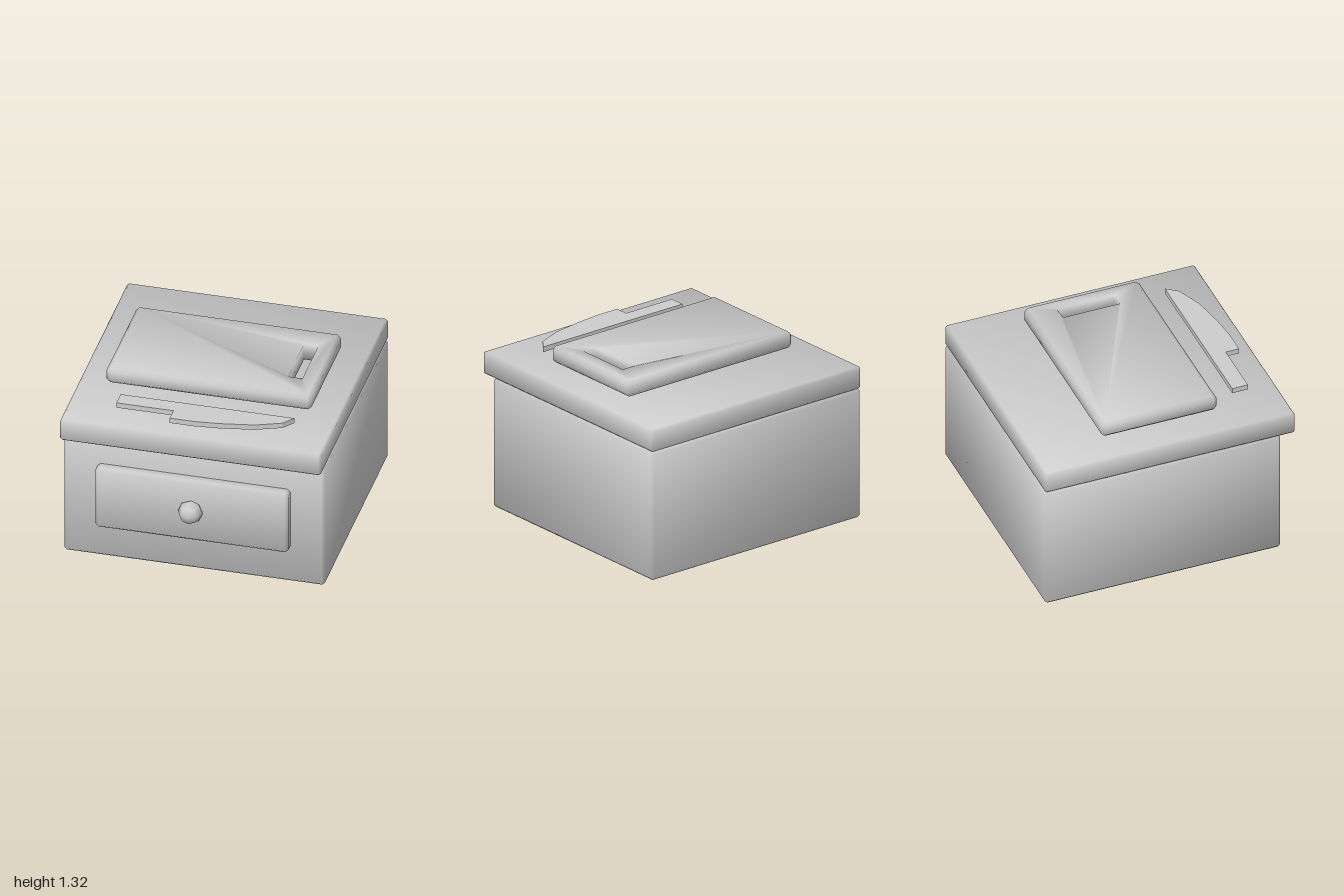
import * as THREE from 'three';
import { mergeVertices } from 'three/addons/utils/BufferGeometryUtils.js';

const grey = new THREE.MeshStandardMaterial({ color: 0xcccccc });
grey.name = 'light grey';

// Weld the corners and average face normals by corner angle for soft shading
function smooth(points) {
  const geo = mergeVertices(new THREE.BufferGeometry().setFromPoints(points), 1e-4);
  const pos = geo.attributes.position, index = geo.index;
  const normals = Array.from({ length: pos.count }, () => new THREE.Vector3());
  for (let i = 0; i < index.count; i += 3) {
    const ids = [0, 1, 2].map((k) => index.getX(i + k));
    const p = ids.map((id) => new THREE.Vector3().fromBufferAttribute(pos, id));
    const face = new THREE.Triangle(...p).getNormal(new THREE.Vector3());
    ids.forEach((id, k) => {
      const u = p[(k + 1) % 3].clone().sub(p[k]);
      const v = p[(k + 2) % 3].clone().sub(p[k]);
      normals[id].addScaledVector(face, u.angleTo(v));
    });
  }
  const flat = normals.flatMap((n) => n.normalize().toArray());
  geo.setAttribute('normal', new THREE.Float32BufferAttribute(flat, 3));
  return geo;
}

// Rectangle in plan, with each corner given as two points: cut, or inset to one spot
function ring([x0, x1], y, [z0, z1], c, inset) {
  const out = [];
  for (const [sx, sz] of [[1, -1], [1, 1], [-1, 1], [-1, -1]]) {
    const x = sx > 0 ? x1 : x0, z = sz > 0 ? z1 : z0;
    const xi = x - sx * c, zi = z - sz * c;
    const pair = [
      new THREE.Vector3(inset ? xi : x, y, zi),
      new THREE.Vector3(xi, y, inset ? zi : z),
    ];
    out.push(...(sx * sz > 0 ? pair : pair.reverse()));
  }
  return out;
}

// Box with chamfered edges and an optional slot cut straight through it
function chamferBox(xs, [y0, y1], zs, c, slot) {
  const points = [];
  const tri = (a, b, d) => {
    if (a.distanceTo(b) > 1e-5 && b.distanceTo(d) > 1e-5 && a.distanceTo(d) > 1e-5) points.push(a, b, d);
  };
  const wall = (lo, hi) => lo.forEach((a, i) => {
    const j = (i + 1) % lo.length;
    tri(a, hi[i], lo[j]);
    tri(lo[j], hi[i], hi[j]);
  });

  // Sides
  const rings = [[y0, true], [y0 + c, false], [y1 - c, false], [y1, true]]
    .map(([y, inset]) => ring(xs, y, zs, c, inset));
  for (let i = 0; i < 3; i++) wall(rings[i], rings[i + 1]);

  // Slot walls face inward
  const holes = slot ? [y0, y1].map((y) => ring(slot.x, y, slot.z, slot.c, false)) : [];
  if (slot) wall(holes[1], holes[0]);

  // Top and bottom
  [[rings[0], holes[0], -1], [rings[3], holes[1], 1]].forEach(([outer, hole, dir]) => {
    const rim = outer.filter((p, i) => i % 2 === 0);
    const all = hole ? [...rim, ...hole] : rim;
    const flat = (list) => list.map((p) => new THREE.Vector2(p.x, p.z));
    for (const f of THREE.ShapeUtils.triangulateShape(flat(rim), hole ? [flat(hole)] : [])) {
      const [a, b, d] = f.map((i) => all[i]);
      const up = b.clone().sub(a).cross(d.clone().sub(a)).y;
      if (up * dir > 0) tri(a, b, d);
      else tri(a, d, b);
    }
  });
  return smooth(points);
}

export function createModel() {
  const model = new THREE.Group();
  model.name = 'kitchenCabinet';
  const add = (name, geometry) => {
    const mesh = new THREE.Mesh(geometry, grey);
    mesh.name = name;
    model.add(mesh);
    return mesh;
  };

  // Cabinet
  add('cabinetBody', chamferBox([-0.96, 0.96], [0, 0.99], [-1, 0.81], 0.02));
  add('countertop', chamferBox([-0.96, 0.96], [0.99, 1.16], [-1, 0.92], 0.015));
  add('drawerFront', chamferBox([-0.71, 0.71], [0.28, 0.775], [0.77, 0.89], 0.022));
  const knob = add('drawerKnob', new THREE.SphereGeometry(0.09, 8, 4).rotateX(Math.PI / 2));
  knob.position.set(0, 0.535, 0.91);

  // Cutting board with a handle slot
  add('cuttingBoard', chamferBox([-0.755, 0.755], [1.19, 1.315], [-0.48, 0.405], 0.027,
    { x: [0.53, 0.635], z: [-0.265, 0.18], c: 0.01 }));

  // Knife lying flat
  const outline = [[-0.6, 0.58], [0.68, 0.58], [0.615, 0.665], [0.43, 0.74], [0.18, 0.785],
    [0, 0.803], [-0.18, 0.803], [-0.18, 0.7], [-0.6, 0.7]];
  const shape = new THREE.Shape(outline.map(([x, z]) => new THREE.Vector2(x, z)));
  const knife = new THREE.ExtrudeGeometry(shape, { depth: 0.04, bevelEnabled: false });
  add('knife', knife.rotateX(Math.PI / 2).translate(0, 1.23, 0));

  return model;
}
